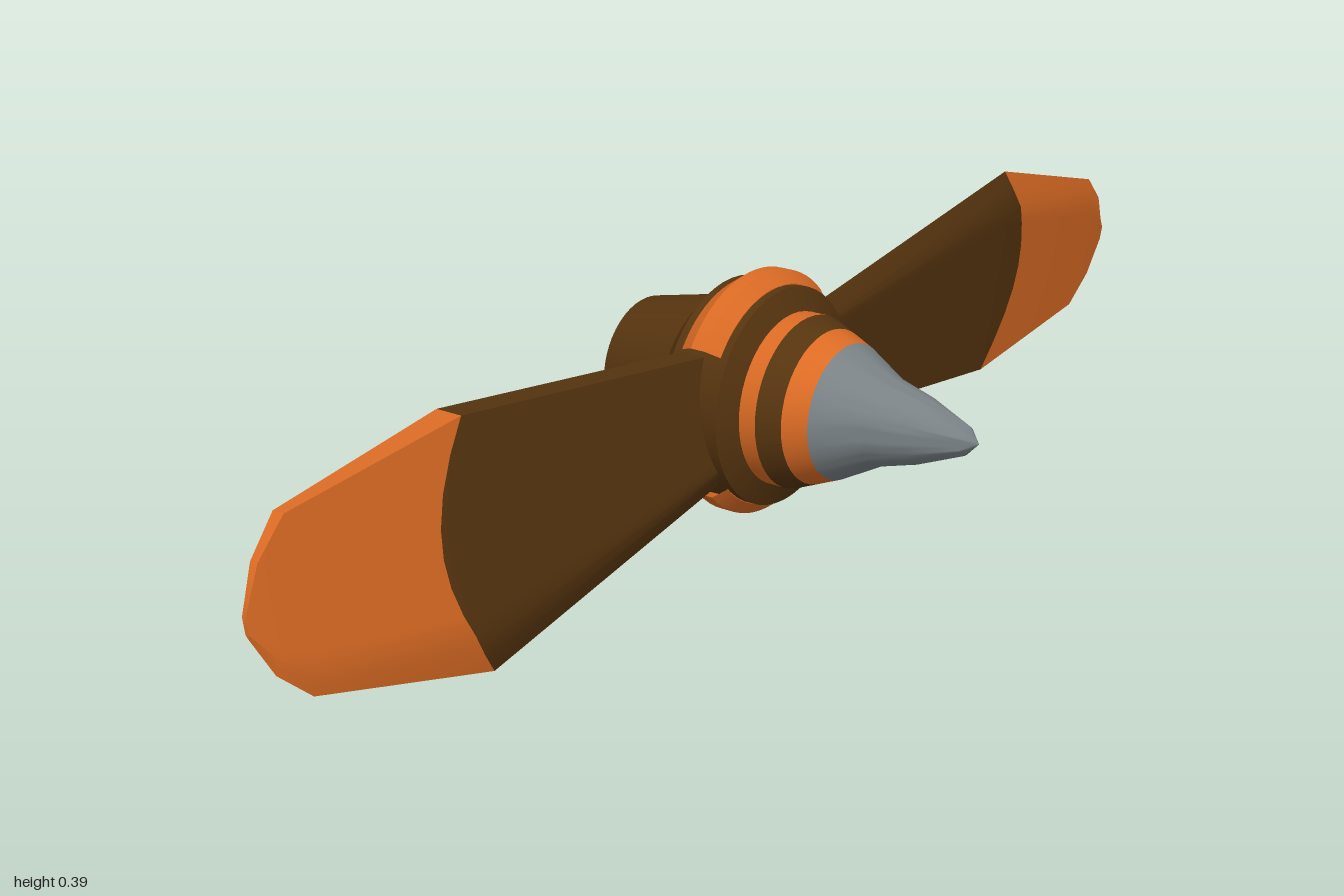
import * as THREE from 'three';
import { toCreasedNormals } from 'three/addons/utils/BufferGeometryUtils.js';

const AXIS_Y = 0.198;
const rad = THREE.MathUtils.degToRad;

function material(name, color, side = THREE.FrontSide) {
  const m = new THREE.MeshStandardMaterial({ color, side });
  m.name = name;
  return m;
}

function addMesh(parent, name, geometry, mat, crease = 0.5) {
  const mesh = new THREE.Mesh(toCreasedNormals(geometry, crease), mat);
  mesh.name = name;
  parent.add(mesh);
  return mesh;
}

// Turned part around the z axis; profile is [z, radius] from back to front
function turned(profile, start = 0, sweep = 360, segments = 48) {
  const points = profile.map(([z, r]) => new THREE.Vector2(r, z));
  return new THREE.LatheGeometry(points, segments, rad(start), rad(sweep)).rotateX(Math.PI / 2);
}

// Blade stations: [x, top, bottom, half thickness]
const STATIONS = [
  [0.05, 0.092, -0.079, 0.02],
  [0.62, 0.197, -0.148, 0.021],
  [0.92, 0.115, -0.115, 0.009],
  [0.97, 0.07, -0.07, 0.006],
  [1.0, 0.013, -0.013, 0.003],
  [1.0, 0, 0, 0],
];

function stationAt(x) {
  const i = x < STATIONS[1][0] ? 0 : 1;
  const a = STATIONS[i], b = STATIONS[i + 1];
  const t = (x - a[0]) / (b[0] - a[0]);
  return a.map((value, k) => value + (b[k] - value) * t);
}

// The paint line bows outward in the middle of the chord
const paintLine = (v) => stationAt(0.62 + 0.07 * (1 - (2 * v - 1) ** 2));

// Section runs up the front, over the sharp edge and down the back
const CHORD = [0, 0.12, 0.25, 0.38, 0.5, 0.62, 0.74, 0.83, 0.92, 1];
const SECTION = [
  ...CHORD.map((v) => [v, 1]),
  ...CHORD.slice(0, -1).reverse().map((v) => [v, -1]),
  [0, 1],
];

function bladePoint([x, top, bottom, half], v, side) {
  const y = bottom + (top - bottom) * v;
  const thickness = half * Math.min(1, (1 - v) / 0.17);
  return [x, y, -0.085 + y * 0.168 + side * thickness];
}

// Loft through stations, each a function of the chord position
function loft(rows) {
  const positions = [], index = [], n = SECTION.length;
  for (const row of rows) {
    for (const [v, side] of SECTION) positions.push(...bladePoint(row(v), v, side));
  }
  for (let j = 0; j < rows.length - 1; j++) {
    for (let i = 0; i < n - 1; i++) {
      const a = j * n + i, b = a + n;
      index.push(a, b, b + 1, a, b + 1, a + 1);
    }
  }
  const g = new THREE.BufferGeometry();
  g.setAttribute('position', new THREE.Float32BufferAttribute(positions, 3));
  g.setIndex(index);
  g.computeVertexNormals();
  return g;
}

export function createModel() {
  const brown = material('dark brown', 0x56340f);
  const orange = material('orange', 0xdb6b24, THREE.DoubleSide);
  const grey = material('steel grey', 0x798185);

  const model = new THREE.Group();
  model.name = 'propeller';
  const rotor = new THREE.Group();
  rotor.name = 'rotor';
  rotor.position.y = AXIS_Y;
  model.add(rotor);

  // Hub, painted rings and nose cone
  addMesh(rotor, 'hub', turned([
    [-0.293, 0], [-0.293, 0.102], [-0.165, 0.128], [-0.133, 0.162],
    [-0.04, 0.162], [-0.025, 0.128],
  ]), brown);
  addMesh(rotor, 'rearRing', turned([[-0.025, 0.128], [0.003, 0.128]]), orange);
  addMesh(rotor, 'middleRing', turned([[0.003, 0.128], [0.038, 0.114]]), brown);
  addMesh(rotor, 'frontRing', turned([[0.038, 0.114], [0.073, 0.1]]), orange);
  addMesh(rotor, 'noseCone', turned([
    [0.073, 0.1], [0.14, 0.065], [0.2, 0.049], [0.272, 0.021], [0.293, 0],
  ]), grey, 0.8);

  // Two identical halves: raised collar and blade, half a turn apart
  for (const [i, side] of ['left', 'right'].entries()) {
    const half = new THREE.Group();
    half.name = `${side}Half`;
    half.rotation.z = i * Math.PI;
    rotor.add(half);

    addMesh(half, 'collar', turned([
      [-0.12, 0.155], [-0.12, 0.163], [-0.093, 0.181],
      [-0.07, 0.181], [-0.052, 0.163], [-0.052, 0.155],
    ], 132, 103, 20), orange);
    addMesh(half, 'blade', loft([
      () => STATIONS[0], () => STATIONS[1], paintLine,
    ]), brown);
    addMesh(half, 'bladeTip', loft([
      paintLine, ...STATIONS.slice(2).map((s) => () => s),
    ]), orange);
  }
  return model;
}
